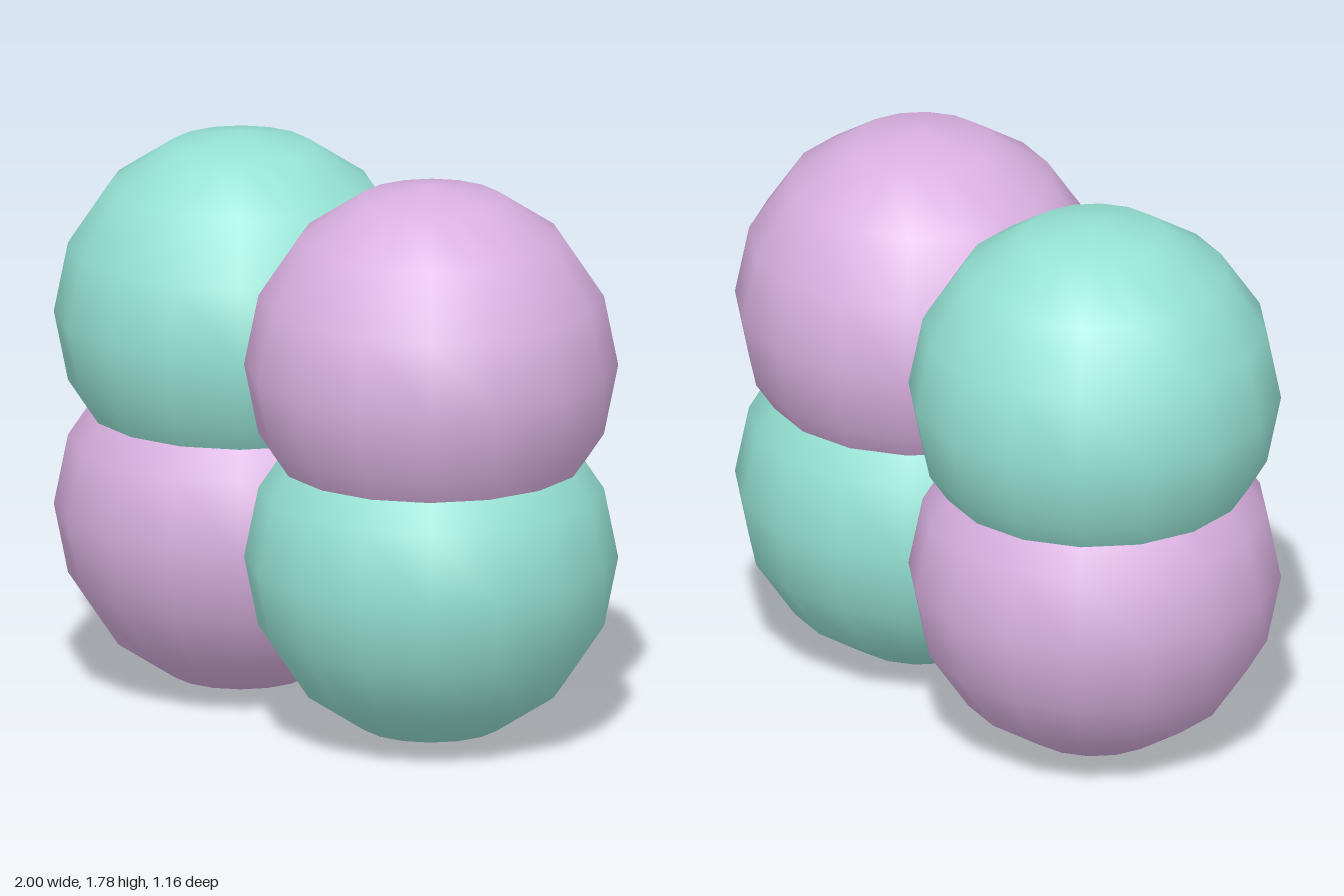
import * as THREE from 'three';

export function createModel() {
  const model = new THREE.Group();
  model.name = 'sphereCluster';

  const teal = new THREE.MeshStandardMaterial({ color: 0x95e1d3 });
  teal.name = 'mint teal';
  const lilac = new THREE.MeshStandardMaterial({ color: 0xd9b0e0 });
  lilac.name = 'soft lilac';

  // One smooth, 16-sided ball shared by all four lobes
  const ball = new THREE.SphereGeometry(0.58, 16, 8);
  const offsetX = 0.42, middleY = 0.894, offsetY = 0.31;

  // Two by two upright grid with the colours swapped on the diagonals
  for (const [row, sy] of [['lower', -1], ['upper', 1]]) {
    for (const [side, sx] of [['Right', -1], ['Left', 1]]) {
      const lobe = new THREE.Mesh(ball, sx === sy ? lilac : teal);
      lobe.name = `${row}${side}Ball`;
      lobe.position.set(sx * offsetX, middleY + sy * offsetY, 0);
      model.add(lobe);
    }
  }
  return model;
}
